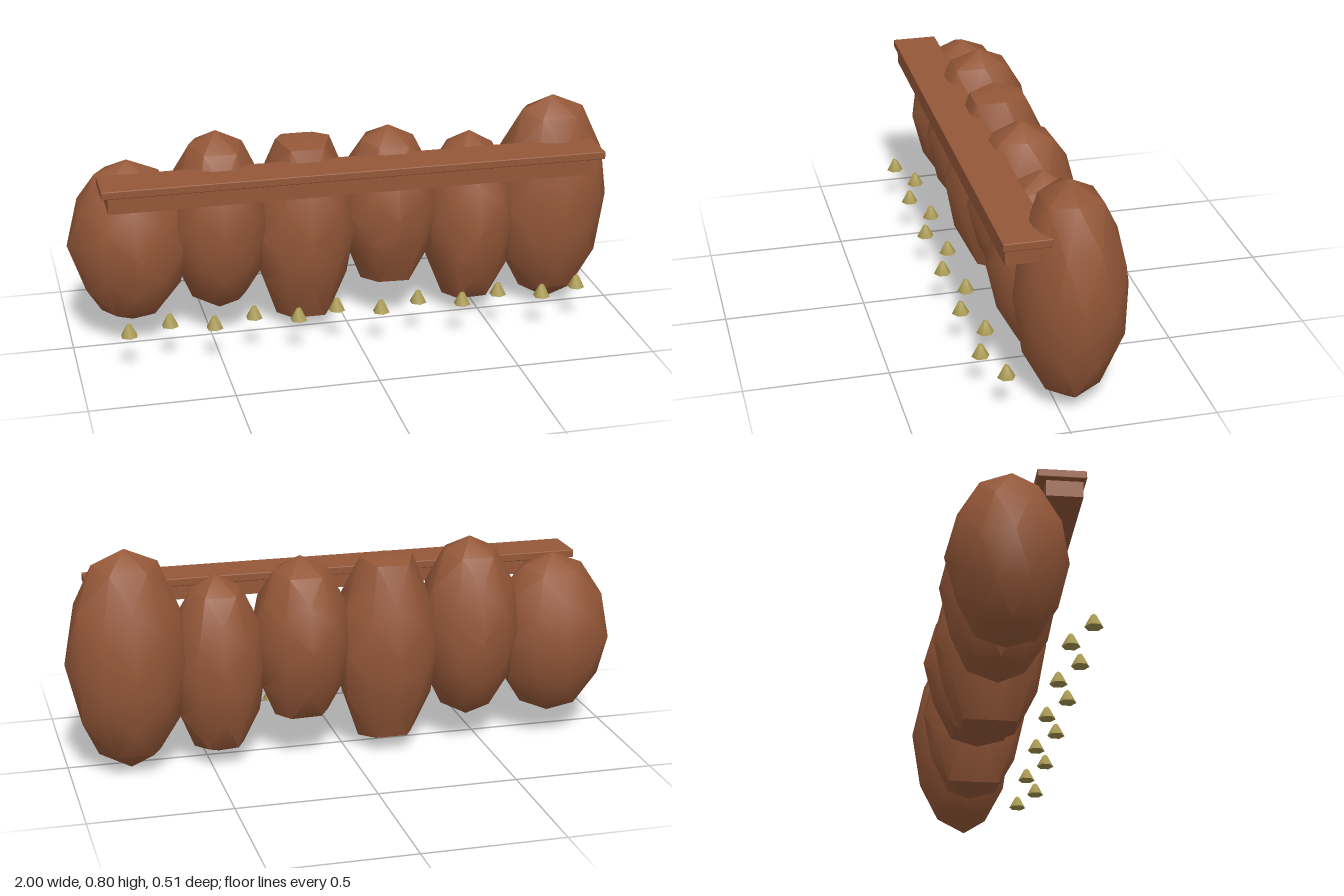
import * as THREE from 'three';
import { mergeVertices, toCreasedNormals } from 'three/addons/utils/BufferGeometryUtils.js';
import { RoundedBoxGeometry } from 'three/addons/geometries/RoundedBoxGeometry.js';

const clay = new THREE.MeshStandardMaterial({ color: 0x945738 });
clay.name = 'clay brown';
const brass = new THREE.MeshStandardMaterial({ color: 0xa5964f });
brass.name = 'dull olive gold';

// Small seeded generator giving values from -1 to 1
function seeded(seed) {
  let s = seed * 7919 + 17;
  return () => {
    s = (s * 16807) % 2147483647;
    return (s / 2147483647) * 2 - 1;
  };
}

// Tall faceted boulder: an icosphere, dented inwards, stretched between two pole heights
function boulderGeometry({ rx, top, bottom, front, back, flatTop = 1, flatBottom = 1 }, seed) {
  const raw = new THREE.IcosahedronGeometry(1, 1);
  raw.deleteAttribute('normal');
  raw.deleteAttribute('uv');
  const geo = mergeVertices(raw, 1e-3);
  const rand = seeded(seed);
  const pos = geo.attributes.position;
  const midY = (top + bottom) / 2;
  const ry = (top - bottom) / 2;
  for (let i = 0; i < pos.count; i++) {
    const x = pos.getX(i), y = pos.getY(i), z = pos.getZ(i);
    const isPole = Math.max(Math.abs(x), Math.abs(y), Math.abs(z)) > 0.99;
    const k = isPole ? 1 : 0.955 + 0.04 * rand();
    // lift the shoulders of flat-ended boulders towards the pole height
    const lift = Math.abs(y) > 0.8 && Math.abs(y) < 0.99 ? (y > 0 ? flatTop : flatBottom) : 1;
    pos.setXYZ(i, x * k * rx, midY + y * lift * ry, z * k * (z > 0 ? front : back));
  }
  return toCreasedNormals(geo, 0.7);
}

export function createModel() {
  const model = new THREE.Group();
  model.name = 'boulderMantel';

  const add = (name, geometry, material, x, y, z) => {
    const mesh = new THREE.Mesh(geometry, material);
    mesh.name = name;
    mesh.position.set(x, y, z);
    model.add(mesh);
  };

  // Row of six boulders
  const boulders = [
    { x: -0.778, rx: 0.222, top: 0.68, bottom: 0.07, front: 0.2, back: 0.208 },
    { x: -0.462, rx: 0.19, top: 0.763, bottom: 0.085, front: 0.205, back: 0.2, flatTop: 1.02 },
    { x: -0.152, rx: 0.2, top: 0.73, bottom: 0.03, front: 0.205, back: 0.195, flatTop: 1.12, flatBottom: 1.14 },
    { x: 0.163, rx: 0.19, top: 0.735, bottom: 0.13, front: 0.195, back: 0.207, flatBottom: 1.1 },
    { x: 0.465, rx: 0.18, top: 0.69, bottom: 0.03, front: 0.2, back: 0.185, flatBottom: 1.08 },
    { x: 0.78, rx: 0.22, top: 0.802, bottom: 0, front: 0.185, back: 0.207, flatTop: 1.03 },
  ];
  boulders.forEach((b, i) => add(`boulder${i + 1}`, boulderGeometry(b, i + 3), clay, b.x, 0, -0.045));

  // Ledge across the front: a wide shelf board on a narrower beam
  add('ledgeBeam', new THREE.BoxGeometry(1.75, 0.058, 0.122), clay, 0.004, 0.6, 0.129);
  add('ledgeBoard', new RoundedBoxGeometry(1.793, 0.029, 0.163, 2, 0.004), clay, 0.003, 0.6425, 0.119);

  // Two staggered rows of blunt six-sided studs
  const profile = [[0, 0], [0.031, 0], [0.009, 0.042], [0, 0.048]].map(([r, y]) => new THREE.Vector2(r, y));
  const studGeometry = toCreasedNormals(new THREE.LatheGeometry(profile, 6), 1.2);
  for (let i = 0; i < 12; i++) {
    add(`stud${i + 1}`, studGeometry, brass, -0.822 + i * 0.1495, 0.129, i % 2 ? 0.17 : 0.222);
  }

  return model;
}
